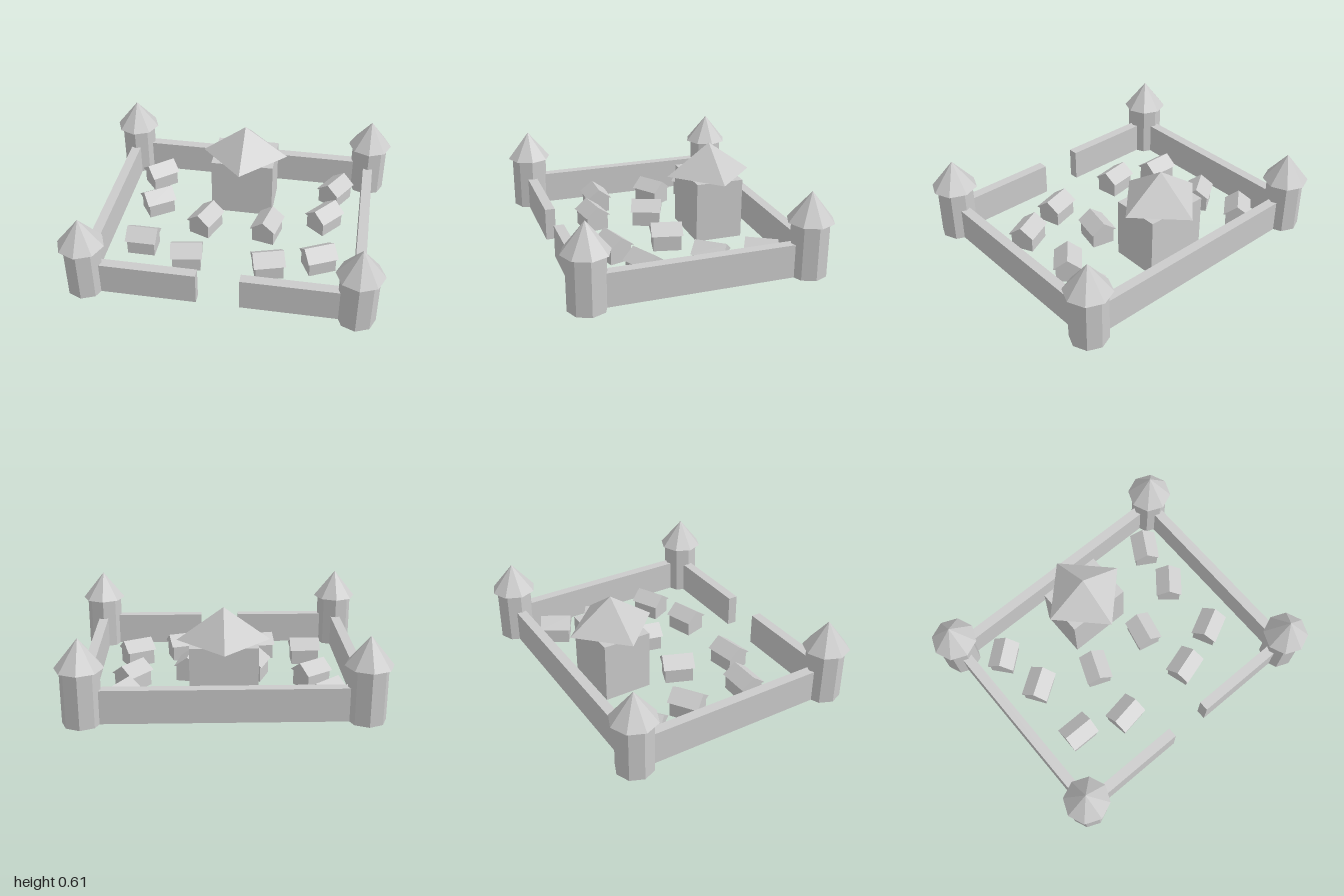
import * as THREE from 'three';

const material = new THREE.MeshStandardMaterial({ color: 0xcccccc, flatShading: true });

function add(parent, name, geometry, x, y, z) {
  const mesh = new THREE.Mesh(geometry, material);
  mesh.name = name;
  mesh.position.set(x, y, z);
  parent.add(mesh);
  return mesh;
}

// Box standing on the ground
function addBlock(parent, name, w, h, d, x, z) {
  return add(parent, name, new THREE.BoxGeometry(w, h, d), x, h / 2, z);
}

// Gable roof: triangular prism with its ridge along x
function gableRoof(length, width, height) {
  const shape = new THREE.Shape();
  shape.moveTo(-width / 2, 0);
  shape.lineTo(width / 2, 0);
  shape.lineTo(0, height);
  shape.closePath();
  const geometry = new THREE.ExtrudeGeometry(shape, { depth: length, bevelEnabled: false });
  return geometry.translate(0, 0, -length / 2).rotateY(Math.PI / 2);
}

export function createModel() {
  const castle = new THREE.Group();
  castle.name = 'walledTown';

  const TX = 0.85, TZ = 0.69;       // tower centres
  const WALL_H = 0.214, WALL_T = 0.065;
  const INSET = 0.1;                // wall ends sit just inside the towers
  const GATE = 0.136;               // half width of the gate opening

  // Corner towers
  for (const sx of [-1, 1]) for (const sz of [-1, 1]) {
    const tower = new THREE.Group();
    tower.name = 'cornerTower';
    tower.position.set(sx * TX, 0, sz * TZ);
    add(tower, 'towerBody', new THREE.CylinderGeometry(0.12, 0.12, 0.35, 8), 0, 0.175, 0);
    add(tower, 'towerRoof', new THREE.ConeGeometry(0.148, 0.185, 8), 0, 0.4425, 0);
    castle.add(tower);
  }

  // Walls: back, two sides, and two front lengths either side of the gate
  addBlock(castle, 'backWall', 2 * (TX - INSET), WALL_H, WALL_T, 0, -TZ);
  const frontLength = TX - INSET - GATE;
  for (const s of [-1, 1]) {
    addBlock(castle, 'sideWall', WALL_T, WALL_H, 2 * (TZ - INSET), s * TX, 0);
    addBlock(castle, 'frontWall', frontLength, WALL_H, WALL_T, s * (GATE + frontLength / 2), TZ);
  }

  // Keep with a pyramid roof turned 45 degrees to its walls
  const keep = new THREE.Group();
  keep.name = 'keep';
  keep.position.set(0, 0, -0.372);
  addBlock(keep, 'keepBody', 0.422, 0.4, 0.317, 0, 0);
  add(keep, 'keepRoof', new THREE.ConeGeometry(0.29, 0.21, 4), 0, 0.505, 0);
  castle.add(keep);

  // Houses: x, z, turn in degrees
  const houses = [
    [-0.64, -0.48, 40], [-0.585, -0.16, 34], [-0.214, -0.003, 68.5], [0.211, 0, 77.5],
    [0.636, -0.48, 59.5], [0.585, -0.16, 51], [0.583, 0.265, 26], [0.265, 0.372, 16.5],
    [-0.267, 0.372, 9], [-0.585, 0.265, 0],
  ];
  const roofGeometry = gableRoof(0.205, 0.177, 0.066);
  for (const [x, z, turn] of houses) {
    const house = new THREE.Group();
    house.name = 'house';
    house.position.set(x, 0, z);
    house.rotation.y = THREE.MathUtils.degToRad(turn);
    addBlock(house, 'houseBody', 0.182, 0.105, 0.15, 0, 0);
    add(house, 'houseRoof', roofGeometry, 0, 0.105, 0);
    castle.add(house);
  }

  return castle;
}
